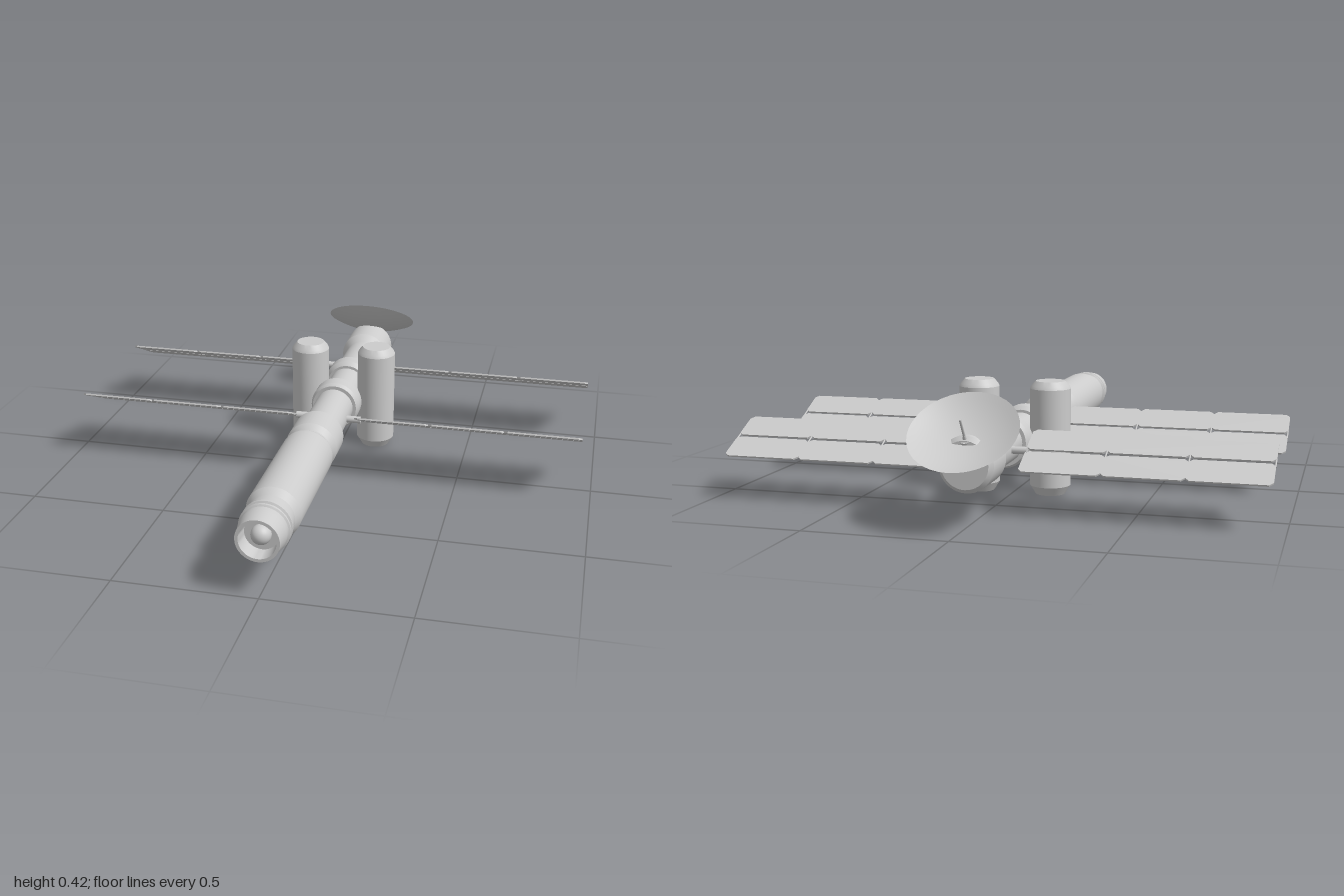
import * as THREE from 'three';
import { toCreasedNormals } from 'three/addons/utils/BufferGeometryUtils.js';

const grey = new THREE.MeshStandardMaterial({ color: 0xcccccc });
const thin = new THREE.MeshStandardMaterial({ color: 0xcccccc, side: THREE.DoubleSide });
const AXIS_Y = 0.207;

function add(parent, name, geometry, x = 0, y = 0, z = 0, material = grey) {
  const mesh = new THREE.Mesh(geometry, material);
  mesh.name = name;
  mesh.position.set(x, y, z);
  parent.add(mesh);
  return mesh;
}

// Surface of revolution from [radius, height] pairs, bottom to top
function turned(profile, crease = 0.35, sides = 40) {
  const points = profile.map(([r, h]) => new THREE.Vector2(r, h));
  return toCreasedNormals(new THREE.LatheGeometry(points, sides), crease);
}

// One long half of a solar wing: three segments with clipped corners
function wingStrip() {
  const breaks = [0.12, 0.397, 0.675, 0.955];
  const inner = 0.006, outer = 0.12, c = 0.014;
  const low = [], high = [];
  for (let i = 0; i < 3; i++) {
    const a = breaks[i], b = breaks[i + 1];
    low.push([a, inner + c], [a + c, inner], [b - c, inner], [b, inner + c]);
    high.push([a, outer - c], [a + c, outer], [b - c, outer], [b, outer - c]);
  }
  const outline = [...low, ...high.reverse()].map(([x, y]) => new THREE.Vector2(x, y));
  const geometry = new THREE.ExtrudeGeometry(new THREE.Shape(outline), { depth: 0.006, bevelEnabled: false });
  return geometry.rotateX(Math.PI / 2).translate(0, 0.003, 0);
}

// Pair of tilted wings on a shared axle
function solarArray(z) {
  const array = new THREE.Group();
  array.name = 'solarArray';
  array.position.set(0, AXIS_Y, z);
  array.rotation.x = -0.45;
  const strip = wingStrip();
  const mirrored = strip.clone().scale(1, 1, -1);
  // restore the winding after the mirror
  const p = mirrored.attributes.position;
  for (let i = 0; i < p.count; i += 3) {
    const a = new THREE.Vector3().fromBufferAttribute(p, i);
    const b = new THREE.Vector3().fromBufferAttribute(p, i + 2);
    p.setXYZ(i, b.x, b.y, b.z);
    p.setXYZ(i + 2, a.x, a.y, a.z);
  }
  mirrored.computeVertexNormals();
  for (const turn of [0, Math.PI]) {
    const wing = new THREE.Group();
    wing.name = 'solarWing';
    wing.rotation.y = turn;
    add(wing, 'wingStrip', strip);
    add(wing, 'wingStrip', mirrored);
    add(wing, 'wingAxle', new THREE.CylinderGeometry(0.013, 0.013, 0.08, 16).rotateZ(Math.PI / 2), 0.085, 0, 0);
    for (const x of [0.122, 0.397, 0.675, 0.953]) {
      add(wing, 'wingHinge', new THREE.CylinderGeometry(0.003, 0.003, 0.045, 8).rotateX(Math.PI / 2), x, 0, 0);
    }
    array.add(wing);
  }
  return array;
}

// Concave dish with a feed in its middle, tipped up and back
function antenna() {
  const dish = new THREE.Group();
  dish.name = 'antenna';
  dish.position.set(0, 0.32, -0.85);
  dish.rotation.x = -0.61;
  const R = 0.183, depth = 0.045;
  const bowl = [];
  for (let i = 0; i <= 8; i++) {
    const t = i / 8;
    bowl.push(new THREE.Vector2(R * t, depth * (t * t - 1)));
  }
  add(dish, 'dishBowl', new THREE.LatheGeometry(bowl, 40), 0, 0, 0, thin);
  add(dish, 'feedMast', new THREE.CylinderGeometry(0.004, 0.005, 0.095, 10), 0, 0.002, 0);
  add(dish, 'feedBase', new THREE.CylinderGeometry(0.005, 0.011, 0.025, 12), 0, -0.033, 0);
  add(dish, 'dishMount', new THREE.CylinderGeometry(0.02, 0.025, 0.05, 16), 0, -0.062, 0);
  return dish;
}

export function createModel() {
  const station = new THREE.Group();
  station.name = 'spaceStation';

  // Main hull, from the rear cap to the recessed docking port
  const hull = turned([
    [0, -0.84], [0.08, -0.84], [0.094, -0.825], [0.094, -0.69], [0.073, -0.645],
    [0.073, -0.42], [0.086, -0.42], [0.094, -0.405], [0.094, -0.355], [0.08, -0.335],
    [0.07, -0.335], [0.07, -0.18], [0.08, -0.18], [0.094, -0.165], [0.094, -0.11],
    [0.086, -0.095], [0.073, -0.095], [0.073, 0.13], [0.094, 0.17], [0.094, 0.285],
    [0.08, 0.312], [0.08, 0.32], [0.094, 0.35], [0.094, 0.805], [0.081, 0.838],
    [0.081, 0.88], [0.087, 0.884], [0.087, 0.892], [0.08, 0.896], [0.08, 0.904],
    [0.087, 0.908], [0.087, 0.916], [0.081, 0.92], [0.081, 0.945], [0.074, 0.985],
    [0.074, 1], [0.063, 1], [0.058, 0.945], [0, 0.945],
  ]).rotateX(Math.PI / 2);
  add(station, 'hull', hull, 0, AXIS_Y, 0);
  add(station, 'dockingProbe', new THREE.SphereGeometry(0.034, 24, 16), 0, AXIS_Y, 0.953);

  // Upright pods on both sides of the narrow node
  const pod = turned([
    [0, 0], [0.053, 0], [0.073, 0.032], [0.073, 0.383], [0.068, 0.393], [0.053, 0.41], [0, 0.41],
  ]);
  for (const side of [-1, 1]) add(station, 'sidePod', pod, side * 0.133, 0, -0.26);

  station.add(solarArray(0.007), solarArray(-0.543), antenna());
  return station;
}
